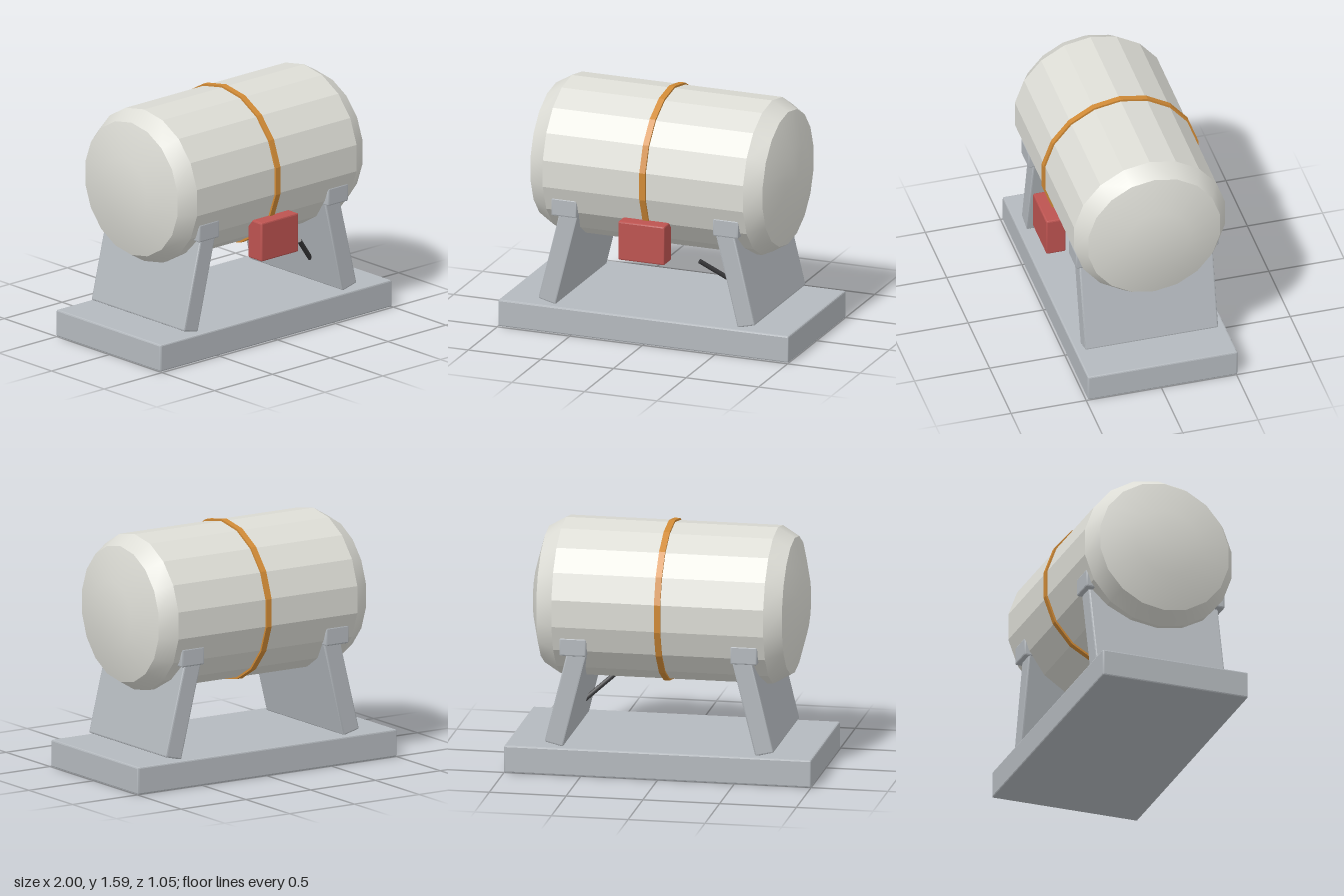
import * as THREE from 'three';
import { toCreasedNormals } from 'three/addons/utils/BufferGeometryUtils.js';
import { RoundedBoxGeometry } from 'three/addons/geometries/RoundedBoxGeometry.js';

const CENTRE_Z = -0.01;
const DRUM_Y = 1.07;
const SIDES = 18;

const paint = (color) => new THREE.MeshStandardMaterial({ color });
const steel = paint(0xb4b9be);
const shell = paint(0xdcdcd5);
const orange = paint(0xd08a36);
const red = paint(0xbc5350);
const dark = paint(0x3a3a3c);

function add(parent, name, geometry, material, x, y, z) {
  const mesh = new THREE.Mesh(geometry, material);
  mesh.name = name;
  mesh.position.set(x, y, z);
  parent.add(mesh);
  return mesh;
}

// Box with a narrow chamfer on every edge
const chamferBox = (w, h, d) =>
  toCreasedNormals(new RoundedBoxGeometry(w, h, d, 1, 0.01), 0.3);

// Faceted solid turned about the x axis, from [radius, x] pairs
function turned(profile) {
  const points = profile.map(([r, x]) => new THREE.Vector2(r, x));
  const geometry = new THREE.LatheGeometry(points, SIDES, Math.PI / 2);
  geometry.rotateZ(Math.PI / 2);
  // Body facets (20 degrees apart) stay flat, the end slopes blend
  return toCreasedNormals(geometry, THREE.MathUtils.degToRad(18.5));
}

export function createModel() {
  const model = new THREE.Group();
  model.name = 'drumOnStand';

  add(model, 'base', chamferBox(2, 0.18, 0.995), steel, 0, 0.09, CENTRE_Z);

  // Horizontal drum with chamfered, shallow domed ends
  const half = [[0.51, 0.69], [0.445, 0.8], [0.22, 0.865], [0, 0.865]];
  const mirrored = half.map(([r, x]) => [r, -x]).reverse();
  add(model, 'drum', turned([...mirrored, ...half]), shell, 0, DRUM_Y, CENTRE_Z);

  // Strap around the middle
  const strap = [[0.5, -0.02], [0.523, -0.02], [0.523, 0.02], [0.5, 0.02], [0.5, -0.02]];
  add(model, 'strap', turned(strap), orange, 0, DRUM_Y, CENTRE_Z);

  // Leaning support plates, each topped by a cradle bar
  for (const side of [-1, 1]) {
    const support = new THREE.Group();
    support.name = side > 0 ? 'leftSupport' : 'rightSupport';
    const plate = add(support, 'supportPlate', chamferBox(0.125, 0.64, 0.885), steel,
      side * 0.61, 0.5, CENTRE_Z);
    plate.rotation.z = side * 0.242;
    add(support, 'cradleBar', chamferBox(0.175, 0.12, 0.95), steel,
      side * 0.557, 0.845, CENTRE_Z);
    model.add(support);
  }

  // Control box on the front
  add(model, 'controlBox', chamferBox(0.32, 0.26, 0.13), red, 0, 0.695, 0.46);

  // Thin rod running from under the drum into the left support
  const rodStart = new THREE.Vector3(0.33, 0.56, 0.34);
  const rodEnd = new THREE.Vector3(0.63, 0.308, 0.13);
  const path = new THREE.LineCurve3(rodStart, rodEnd);
  const rod = add(model, 'rod',
    new THREE.CylinderGeometry(0.016, 0.016, path.getLength(), 8), dark, 0, 0, 0);
  rod.position.copy(path.getPoint(0.5));
  rod.quaternion.setFromUnitVectors(new THREE.Vector3(0, 1, 0), path.getTangent(0));

  return model;
}
